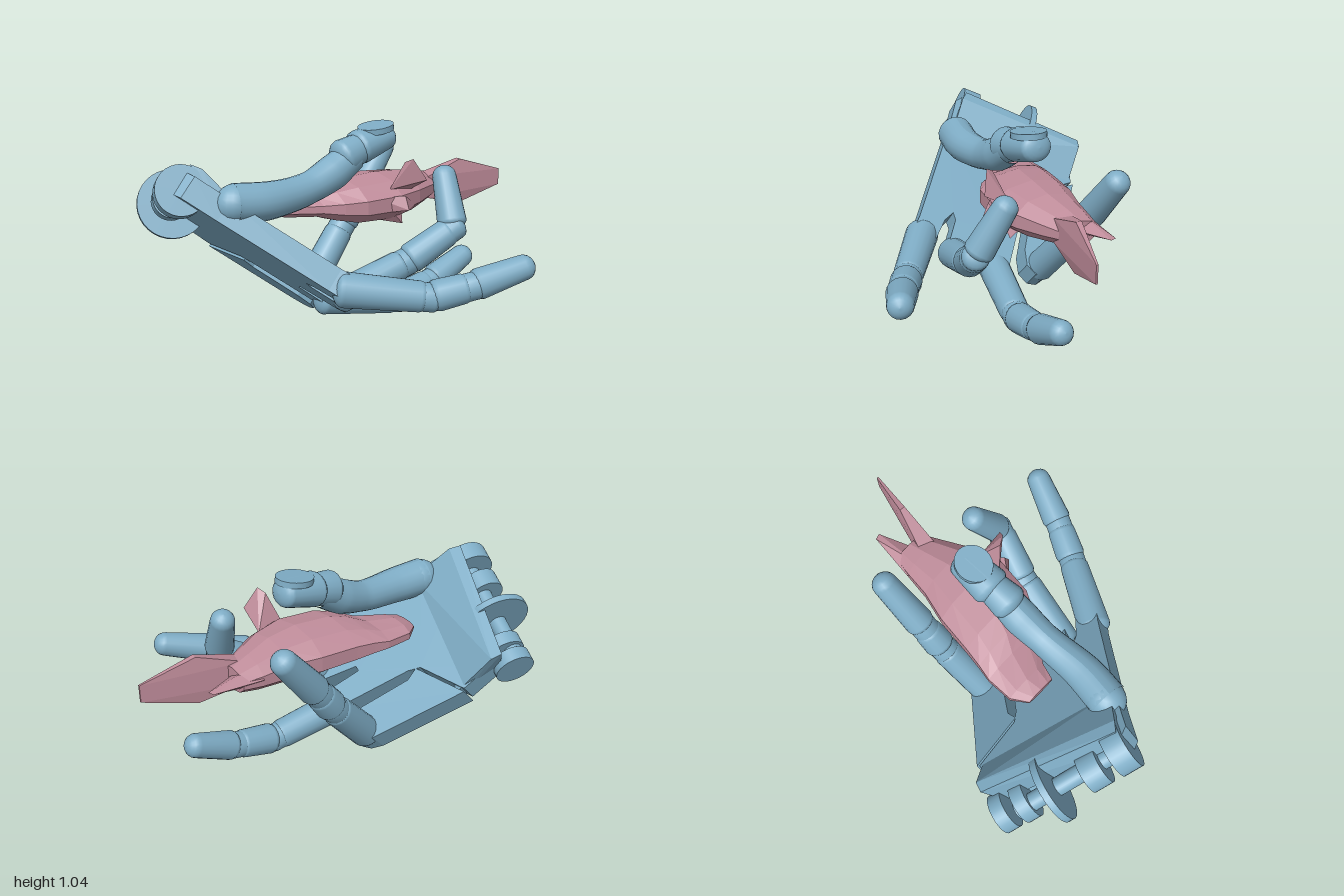
import * as THREE from 'three';
import { ConvexGeometry } from 'three/addons/geometries/ConvexGeometry.js';

const blue = new THREE.MeshStandardMaterial({ color: 0x7fadc6 });
const flatBlue = new THREE.MeshStandardMaterial({ color: 0x7fadc6, flatShading: true });
const pink = new THREE.MeshStandardMaterial({ color: 0xbf8c9a, flatShading: true });
const V = (p) => new THREE.Vector3(...p);
const UP = new THREE.Vector3(0, 1, 0);

function add(parent, name, geo, mat = blue) {
  const m = new THREE.Mesh(geo, mat);
  m.name = name;
  parent.add(m);
  return m;
}

// Tapered rod with rounded ends between two points
function segment(parent, name, a, b, r0, r1, round = 0.6) {
  const A = V(a), d = V(b).sub(A), L = d.length(), pts = [];
  for (let i = 0; i <= 5; i++) {
    const t = (i / 5) * Math.PI / 2;
    pts.push(new THREE.Vector2(r0 * Math.sin(t), -r0 * 0.6 * Math.cos(t)));
  }
  for (let i = 0; i <= 5; i++) {
    const t = (i / 5) * Math.PI / 2;
    pts.push(new THREE.Vector2(r1 * Math.cos(t), L + r1 * round * Math.sin(t)));
  }
  const m = add(parent, name, new THREE.LatheGeometry(pts, 18));
  m.position.copy(A);
  m.quaternion.setFromUnitVectors(UP, d.normalize());
}

// Round disc centred on a point, turned along an axis
function disc(parent, name, c, axis, r, h) {
  const m = add(parent, name, new THREE.CylinderGeometry(r, r, h, 32));
  m.position.set(...c);
  m.quaternion.setFromUnitVectors(UP, V(axis).normalize());
}

// Flat plate lying on the tilted plane of the palm
function palmPlate(parent, name, outline, thick, lift = 0) {
  const shape = new THREE.Shape(outline.map((p) => new THREE.Vector2(...p)));
  const geo = new THREE.ExtrudeGeometry(shape, { depth: thick, bevelEnabled: false });
  const n = new THREE.Vector3(-0.07, 0.725, -0.685);
  const tilt = new THREE.Matrix4().makeBasis(V([1, 0, -0.1]), V([0, 1, 1.06]), n.clone().negate());
  const o = n.multiplyScalar(thick + lift);
  tilt.setPosition(o.x, o.y, o.z + 0.035);
  add(parent, name, geo.applyMatrix4(tilt));
}

// Finger: three phalanges with knuckles between them
function finger(parent, name, pts, radii) {
  const g = new THREE.Group();
  g.name = name;
  parent.add(g);
  const names = ['lowerPhalanx', 'middlePhalanx', 'fingertip'];
  for (let i = 0; i < 3; i++) {
    const a = V(pts[i]), b = V(pts[i + 1]), d = b.clone().sub(a).normalize();
    const start = a.clone().addScaledVector(d, i ? radii[i] * 0.5 : 0);
    const end = b.clone().addScaledVector(d, -radii[i + 1] * (i < 2 ? 0.6 : 0.9));
    segment(g, names[i], start.toArray(), end.toArray(), radii[i], radii[i + 1] * (i < 2 ? 0.96 : 1), i < 2 ? 0.6 : 0.9);
    if (i < 2) segment(g, 'knuckle', b.clone().addScaledVector(d, -0.03).toArray(),
      b.clone().addScaledVector(d, 0.02).toArray(), radii[i + 1] * 0.9, radii[i + 1] * 0.9);
  }
}

// Thick curved tube whose radius follows a list
function taperedTube(pts, radii) {
  const path = new THREE.CatmullRomCurve3(pts.map(V)), n = 32, s = 18;
  const geo = new THREE.TubeGeometry(path, n, 1, s);
  const pos = geo.attributes.position, v = new THREE.Vector3();
  for (let i = 0; i < pos.count; i++) {
    const t = Math.floor(i / (s + 1)) / n, f = t * (radii.length - 1);
    const k = Math.min(Math.floor(f), radii.length - 2);
    const c = path.getPointAt(t), r = THREE.MathUtils.lerp(radii[k], radii[k + 1], f - k);
    v.fromBufferAttribute(pos, i).sub(c).multiplyScalar(r).add(c);
    pos.setXYZ(i, v.x, v.y, v.z);
  }
  geo.computeVertexNormals();
  return geo;
}

function buildHand() {
  const hand = new THREE.Group();
  hand.name = 'hand';

  // Palm with a lobe below each finger
  palmPlate(hand, 'palm', [
    [-0.63, 0.37], [-0.68, 0.48], [-0.62, 0.53], [-0.22, 0.78], [-0.15, 0.83], [-0.1, 0.82],
    [0, 0.71], [0.34, 0.38], [0.39, 0.34], [0.37, 0.29], [0.29, 0.28], [0.21, 0.34], [0.15, 0.36],
    [0.15, 0.33], [0.22, 0.26], [0.23, 0.2], [0.18, 0.16], [0.12, 0.17], [-0.01, 0.27], [-0.04, 0.26],
    [0.04, 0.16], [0.04, 0.1], [-0.01, 0.08], [-0.07, 0.11], [-0.2, 0.24], [-0.3, 0.34], [-0.35, 0.37],
  ], 0.12);
  // Separate plate below the little finger
  palmPlate(hand, 'littleFingerPlate', [
    [-0.64, 0.36], [-0.35, 0.07], [-0.3, 0.04], [-0.25, 0.03], [-0.2, 0.045], [-0.17, 0.09], [-0.19, 0.15],
    [-0.33, 0.31], [-0.33, 0.36],
  ], 0.13, -0.01);
  // Raised heel of the hand sloping down into the palm
  add(hand, 'heel', new ConvexGeometry([
    [-0.75, 0.66, 0.53], [-0.73, 0.64, 0.48], [-0.17, 0.95, 0.82], [-0.13, 0.93, 0.78], [-0.68, 0.52, 0.62],
    [-0.17, 0.83, 0.88], [-0.6, 0.42, 0.4], [0, 0.75, 0.66], [-0.6, 0.38, 0.46], [-0.02, 0.72, 0.74],
  ].map(V)), flatBlue);

  // Wrist hinge: a pin carrying discs of several sizes
  const axis = [0.86, 0.4, 0.3];
  const wrist = new THREE.Group();
  wrist.name = 'wrist';
  hand.add(wrist);
  disc(wrist, 'hingePin', [-0.44, 0.69, 0.79], axis, 0.045, 0.56);
  disc(wrist, 'outerLug', [-0.72, 0.54, 0.66], axis, 0.1, 0.07);
  disc(wrist, 'secondLug', [-0.62, 0.57, 0.7], axis, 0.1, 0.07);
  disc(wrist, 'largeDisc', [-0.5, 0.67, 0.76], axis, 0.175, 0.035);
  disc(wrist, 'thirdLug', [-0.32, 0.75, 0.85], axis, 0.095, 0.1);
  disc(wrist, 'innerLug', [-0.18, 0.825, 0.875], axis, 0.122, 0.1);

  // Four fingers, index to little
  finger(hand, 'indexFinger', [[0.33, 0.36, 0.31], [0.55, 0.305, -0.04], [0.645, 0.345, -0.23], [0.765, 0.43, -0.53]],
    [0.088, 0.08, 0.078, 0.064]);
  finger(hand, 'middleFinger', [[0.19, 0.26, 0.22], [0.26, 0.38, -0.14], [0.335, 0.53, -0.39], [0.18, 0.82, -0.45]],
    [0.083, 0.08, 0.076, 0.062]);
  finger(hand, 'ringFinger', [[-0.02, 0.17, 0.17], [0.05, 0.08, -0.26], [0.06, 0.135, -0.5], [0.065, 0.255, -0.78]],
    [0.085, 0.08, 0.076, 0.062]);
  finger(hand, 'littleFinger', [[-0.27, 0.14, 0.09], [-0.32, 0.42, -0.17], [-0.335, 0.56, -0.28], [-0.365, 0.86, -0.53]],
    [0.083, 0.08, 0.077, 0.064]);

  // Thumb with its mound, shaft, joint and broad flat tip
  const thumb = new THREE.Group();
  thumb.name = 'thumb';
  hand.add(thumb);
  const mound = add(thumb, 'thumbMound', new THREE.SphereGeometry(1, 20, 14));
  mound.position.set(-0.035, 0.765, 0.66);
  mound.scale.set(0.095, 0.095, 0.11);
  add(thumb, 'thumbShaft', taperedTube([[-0.035, 0.765, 0.68], [-0.01, 0.755, 0.5], [-0.02, 0.77, 0.28],
    [-0.03, 0.82, 0.12], [-0.035, 0.895, -0.02]], [0.098, 0.095, 0.086, 0.08, 0.09, 0.08]));
  segment(thumb, 'thumbJoint', [-0.035, 0.895, 0.03], [-0.04, 0.92, -0.06], 0.092, 0.08);
  const tip = new THREE.Group();
  tip.name = 'thumbTip';
  tip.scale.x = 1.12;
  thumb.add(tip);
  segment(tip, 'tipBody', [-0.04, 0.93, -0.08], [-0.045, 0.965, -0.245], 0.088, 0.073);
  const nail = add(tip, 'thumbNail', new THREE.CylinderGeometry(0.078, 0.078, 0.03, 24));
  nail.position.set(-0.04, 1.015, -0.185);
  nail.rotation.x = 0.12;
  nail.scale.z = 1.25;
  return hand;
}

function buildFish() {
  const fish = new THREE.Group();
  fish.name = 'fish';

  // Body stations: z, centre x, half width, centre y, half height
  const st = [
    [0.4, -0.195, 0.085, 0.65, 0.025], [0.32, -0.21, 0.125, 0.65, 0.055], [0.18, -0.165, 0.175, 0.652, 0.062],
    [0.1, -0.12, 0.205, 0.655, 0.09], [0, -0.085, 0.225, 0.655, 0.115], [-0.2, -0.06, 0.225, 0.655, 0.125],
    [-0.36, -0.06, 0.18, 0.655, 0.11], [-0.5, -0.085, 0.135, 0.65, 0.085], [-0.6, -0.1, 0.1, 0.65, 0.06],
  ];
  const n = st.length - 1;
  const body = new THREE.CylinderGeometry(1, 1, 1, 10, n);
  const pos = body.attributes.position;
  for (let i = 0; i < pos.count; i++) {
    const [z, cx, hw, cy, hh] = st[Math.round((0.5 - pos.getY(i)) * n)];
    pos.setXYZ(i, cx + pos.getX(i) * hw, cy - pos.getZ(i) * hh, z);
  }
  add(fish, 'body', body, pink);

  // Upright tail, thinning towards its end
  const tail = [[-0.05, 0.65, -0.52, 0.06, 0.045], [-0.005, 0.655, -0.74, 0.125, 0.015], [0.055, 0.65, -1, 0.045, 0.005]];
  const corners = [];
  for (const [x, y, z, h, t] of tail)
    for (const s of [-1, 1]) corners.push(V([x + t, y + s * h, z]), V([x - t, y + s * h, z]));
  add(fish, 'tailFin', new ConvexGeometry(corners), pink);

  // Smaller fins
  const fins = {
    rearFin: [[-0.22, 0.66, -0.5], [-0.19, 0.67, -0.76], [-0.16, 0.67, -0.77], [-0.09, 0.66, -0.6], [-0.15, 0.6, -0.5], [-0.15, 0.71, -0.5]],
    upperFin: [[0.1, 0.72, -0.16], [0.1, 0.7, -0.3], [0.16, 0.87, -0.21], [0.2, 0.89, -0.23], [0.24, 0.78, -0.29]],
    sideFin: [[0.09, 0.69, -0.08], [0.18, 0.7, -0.2], [0.21, 0.63, -0.2], [0.1, 0.61, -0.34], [0.12, 0.61, -0.12]],
    lowerFin: [[0.02, 0.56, -0.1], [0.06, 0.56, -0.28], [0.1, 0.6, -0.18], [0.09, 0.52, -0.26]],
  };
  for (const [name, pts] of Object.entries(fins)) add(fish, name, new ConvexGeometry(pts.map(V)), pink);
  return fish;
}

export function createModel() {
  const model = new THREE.Group();
  model.name = 'handHoldingFish';
  model.add(buildHand(), buildFish());
  return model;
}
